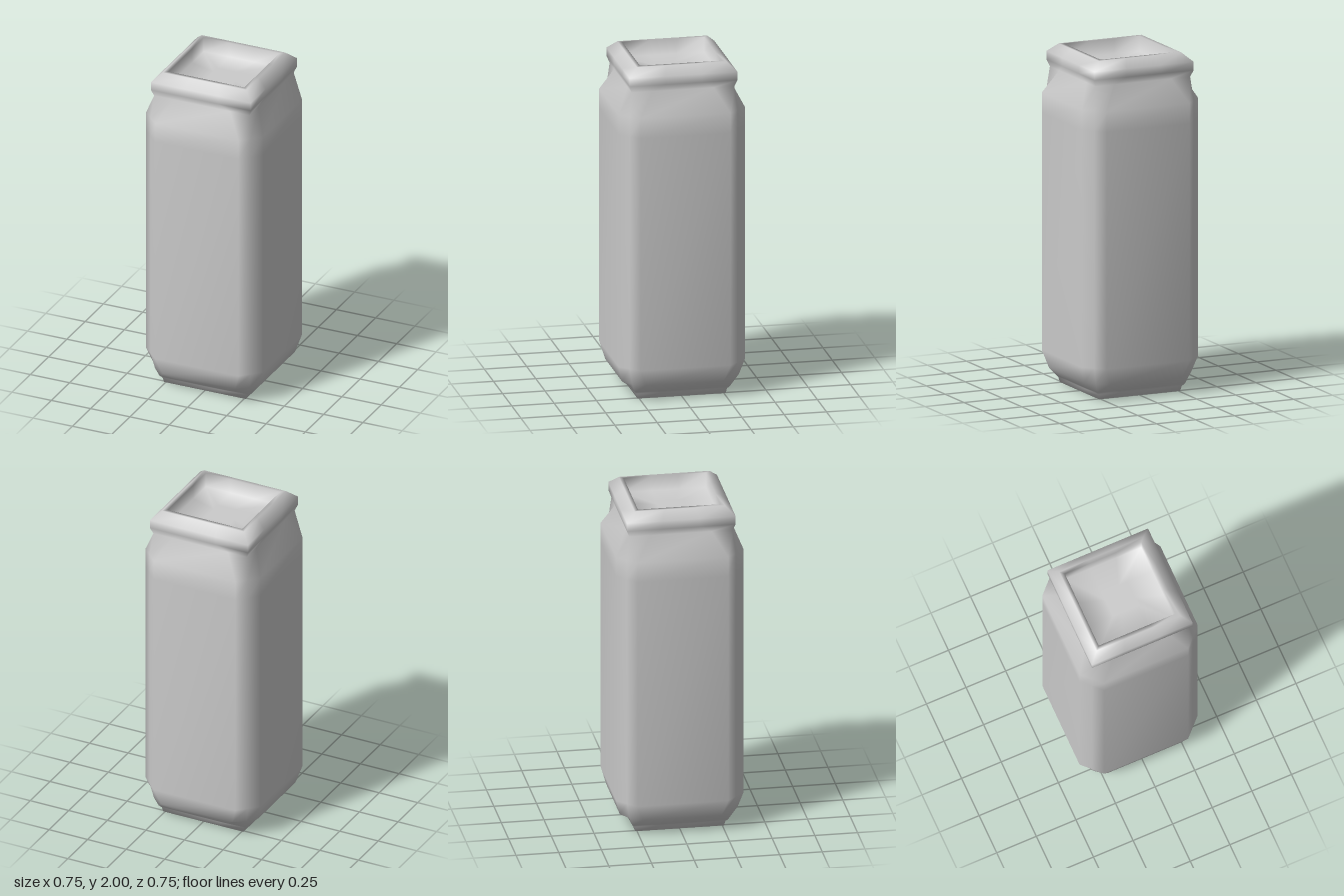
import * as THREE from 'three';

// Cross-sections from the underside centre, up the outside, over the rim and down to the lid centre.
// y: height, w: half width of the sides, c: corner position, a: half length of the flat side
const sections = [
  { y: 0.01, w: 0, c: 0, a: 0 },
  { y: 0.01, w: 0.235, c: 0.235, a: 0.08 },
  { y: 0.01, w: 0.245, c: 0.245, a: 0.09 },   // underside
  { y: 0, w: 0.26, c: 0.26, a: 0.1 },         // foot
  { y: 0.03, w: 0.267, c: 0.267, a: 0.12 },
  { y: 0.045, w: 0.285, c: 0.28, a: 0.15 },
  { y: 0.1, w: 0.345, c: 0.3, a: 0.23 },      // lower taper
  { y: 0.2, w: 0.373, c: 0.319, a: 0.265 },   // body
  { y: 1.6, w: 0.373, c: 0.319, a: 0.265 },
  { y: 1.72, w: 0.373, c: 0.319, a: 0.265 },  // shoulder
  { y: 1.86, w: 0.303, c: 0.303, a: 0.18 },   // neck
  { y: 1.9, w: 0.318, c: 0.318, a: 0.11 },    // rim
  { y: 1.95, w: 0.318, c: 0.318, a: 0.11 },
  { y: 2, w: 0.265, c: 0.265, a: 0.09 },
  { y: 2, w: 0.241, c: 0.241, a: 0.08 },
  { y: 1.91, w: 0.241, c: 0.241, a: 0.08 },   // recessed lid
  { y: 1.91, w: 0.08, c: 0.08, a: 0.027 },
  { y: 1.91, w: 0, c: 0, a: 0 },
];

// Twelve points: each side gives a corner and the two ends of its flat
function ringPoints({ y, w, c, a }) {
  const points = [];
  for (let side = 0; side < 4; side++) {
    for (let [x, z] of [[c, -c], [w, -a], [w, a]]) {
      for (let turn = 0; turn < side; turn++) [x, z] = [-z, x];
      points.push(x, y, z);
    }
  }
  return points;
}

function loft(list) {
  const n = 12;
  const positions = list.flatMap(ringPoints);
  const index = [];
  for (let r = 0; r < list.length - 1; r++) {
    for (let i = 0; i < n; i++) {
      const p = r * n + i;
      const q = r * n + (i + 1) % n;
      if (list[r].w > 0) index.push(p, p + n, q);
      if (list[r + 1].w > 0) index.push(q, p + n, q + n);
    }
  }
  const geometry = new THREE.BufferGeometry();
  geometry.setAttribute('position', new THREE.Float32BufferAttribute(positions, 3));
  geometry.setIndex(index);
  geometry.computeVertexNormals();
  return geometry;
}

export function createModel() {
  const group = new THREE.Group();
  group.name = 'squareCan';
  const material = new THREE.MeshStandardMaterial({ color: 0xcccccc });
  const can = new THREE.Mesh(loft(sections), material);
  can.name = 'canBody';
  group.add(can);
  return group;
}
